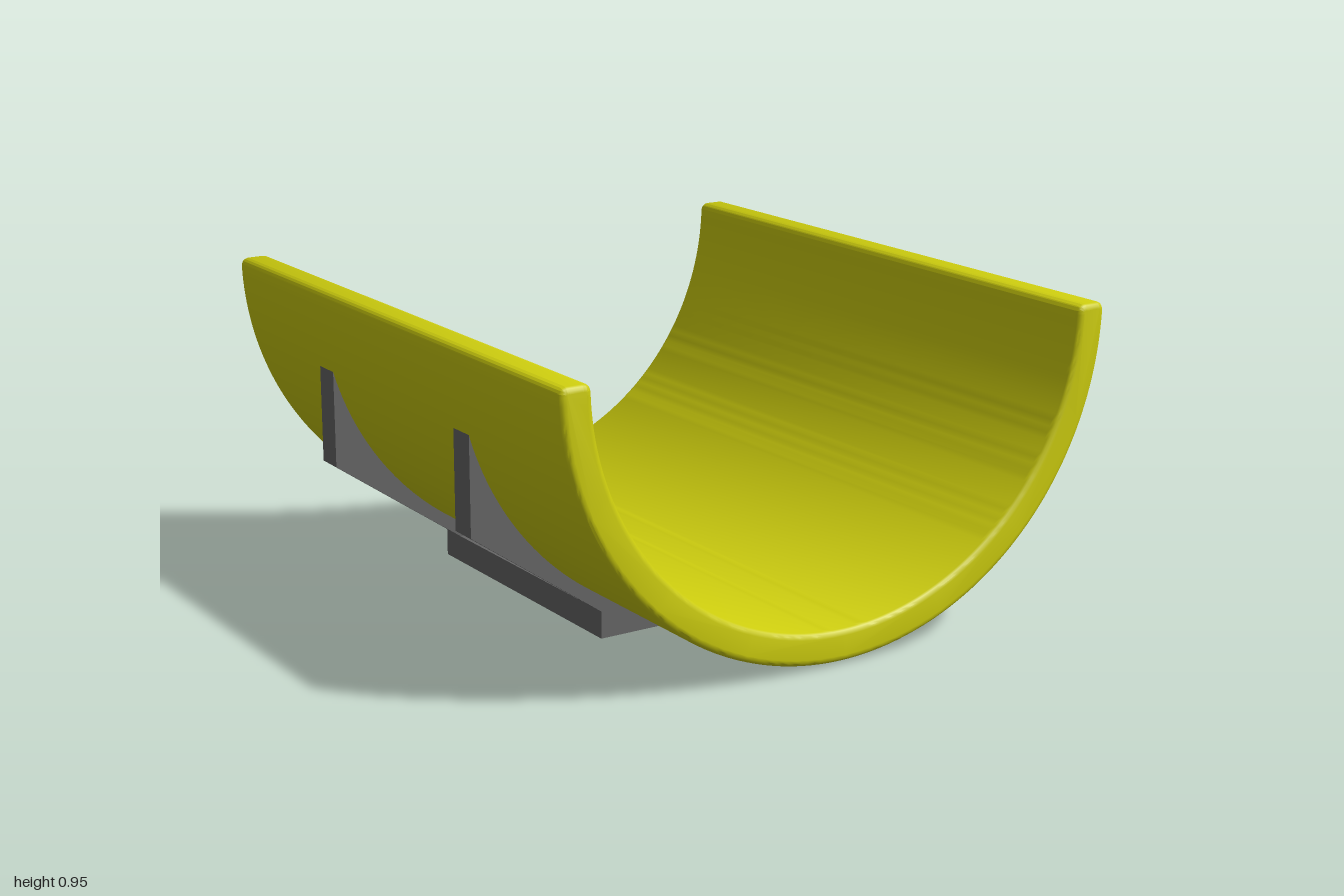
import * as THREE from 'three';
import { toCreasedNormals } from 'three/addons/utils/BufferGeometryUtils.js';

const CY = 0.95, R_OUT = 0.942, R_IN = 0.842; // trough axis height and radii

// Half-round section with softened rims, centred on the trough axis
function troughShape() {
  const c = 0.03, a = c / R_OUT, b = c / R_IN;
  const s = new THREE.Shape();
  s.absarc(0, 0, R_OUT, Math.PI + a, 2 * Math.PI - a, false);
  s.quadraticCurveTo(R_OUT, 0, R_OUT - c, 0);
  s.lineTo(R_IN + c, 0);
  s.quadraticCurveTo(R_IN, 0, R_IN * Math.cos(b), -R_IN * Math.sin(b));
  s.absarc(0, 0, R_IN, 2 * Math.PI - b, Math.PI + b, true);
  s.quadraticCurveTo(-R_IN, 0, -R_IN - c, 0);
  s.lineTo(-R_OUT + c, 0);
  s.quadraticCurveTo(-R_OUT, 0, -R_OUT * Math.cos(a), -R_OUT * Math.sin(a));
  return s;
}

// Cradle plate: stepped, sloping underside and a curved top hugging the trough
function ribShape() {
  const r = R_OUT - 0.01, w = 0.905;
  const a = Math.acos(w / r);
  const s = new THREE.Shape();
  s.moveTo(-0.475, 0);
  s.lineTo(0.475, 0);
  s.lineTo(0.475, 0.085);
  s.lineTo(w, 0.385);
  s.lineTo(w, 0.69);
  s.absarc(0, CY, r, -a, -Math.PI + a, true);
  s.lineTo(-w, 0.69);
  s.lineTo(-w, 0.385);
  s.lineTo(-0.475, 0.085);
  s.closePath();
  return s;
}

export function createModel() {
  const group = new THREE.Group();
  const yellow = new THREE.MeshStandardMaterial({ color: 0xcccc0e });
  const grey = new THREE.MeshStandardMaterial({ color: 0x666666 });
  const add = (name, geometry, material, x, y, z) => {
    const mesh = new THREE.Mesh(geometry, material);
    mesh.name = name;
    mesh.position.set(x, y, z);
    group.add(mesh);
  };

  // Trough with rounded end edges
  const bevel = 0.02;
  const trough = new THREE.ExtrudeGeometry(troughShape(), {
    depth: 2 - 2 * bevel, curveSegments: 64,
    bevelSize: bevel, bevelThickness: bevel, bevelOffset: -bevel, bevelSegments: 4,
  });
  add('trough', toCreasedNormals(trough, 0.7), yellow, 0, CY, -1 + bevel);

  // Front and back cradle plates
  const rib = toCreasedNormals(new THREE.ExtrudeGeometry(ribShape(), {
    depth: 0.09, curveSegments: 48, bevelEnabled: false,
  }), 0.3);
  add('frontCradle', rib, grey, 0, 0, 0.35);
  add('backCradle', rib, grey, 0, 0, -0.505);

  // Side rails joining the plates into a base frame
  const rail = new THREE.BoxGeometry(0.09, 0.085, 0.765);
  add('leftRail', rail, grey, 0.43, 0.0425, -0.0325);
  add('rightRail', rail, grey, -0.43, 0.0425, -0.0325);

  return group;
}
